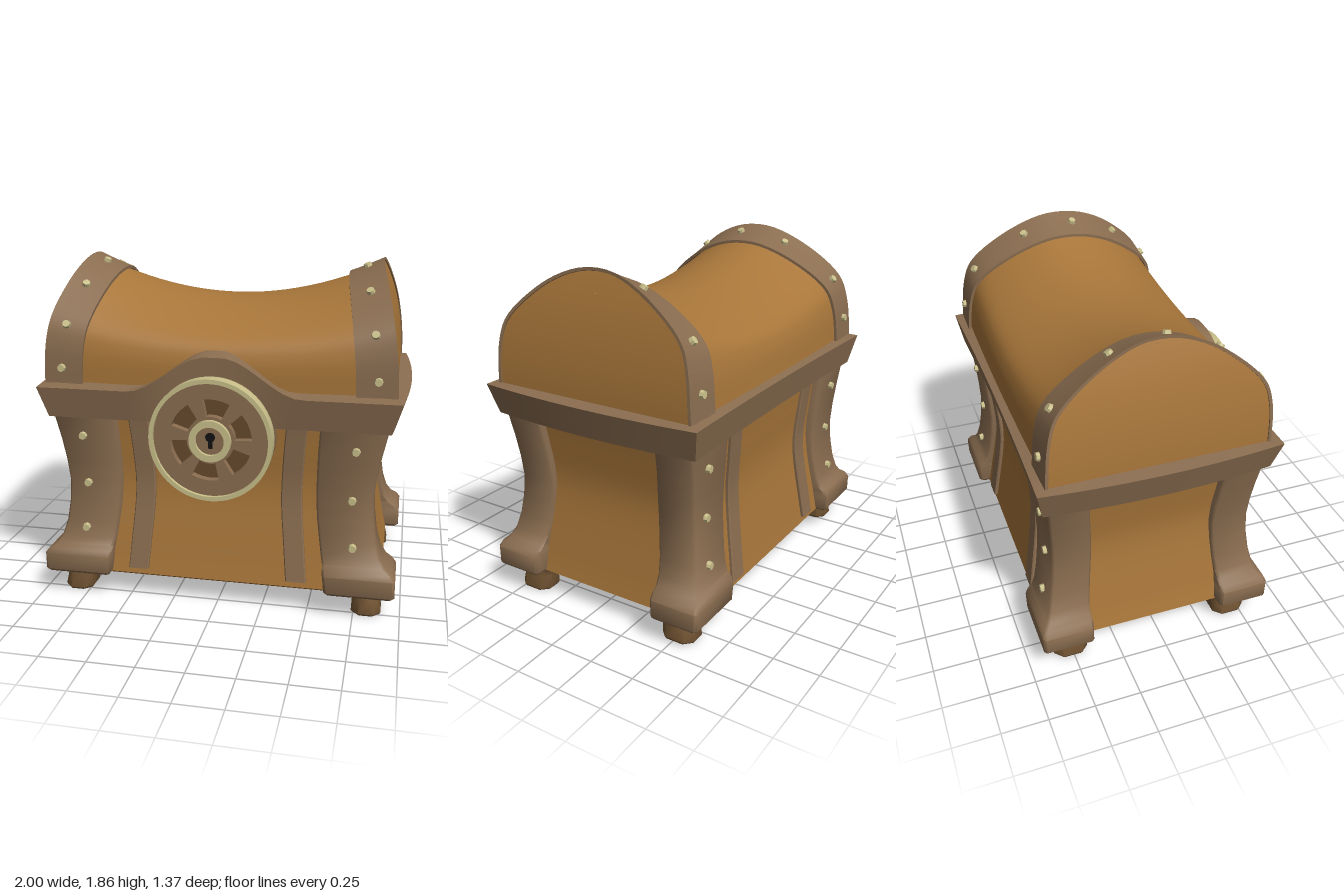
import * as THREE from 'three';
import { toCreasedNormals } from 'three/addons/utils/BufferGeometryUtils.js';

const mat = (color) => new THREE.MeshStandardMaterial({ color });
const WOOD = mat(0xa8763a), TRIM = mat(0x8a6d50), BRASS = mat(0xc9bf8a);
const LEG = mat(0x765735), DARK = mat(0x66492c), BLACK = mat(0x111111);
const CZ = -0.035; // depth centre of the box
const V = (x, y, z) => new THREE.Vector3(x, y, z);
const range = (n, f) => Array.from({ length: n + 1 }, (_, i) => f(i / n));

// Skin rows of points; optionally close each row into a ring and cap both ends
function skin(rows, closed = true, caps = closed, crease = 0.6) {
  const pos = [], idx = [], n = rows[0].length;
  rows.forEach((r) => r.forEach((p) => pos.push(p.x, p.y, p.z)));
  for (let i = 0; i < rows.length - 1; i++) {
    for (let j = 0; j < (closed ? n : n - 1); j++) {
      const k = (j + 1) % n, a = i * n + j, b = i * n + k;
      idx.push(a, b, b + n, a, b + n, a + n);
    }
  }
  if (caps) {
    [0, rows.length - 1].forEach((i) => {
      const c = rows[i].reduce((s, p) => s.add(p), V(0, 0, 0)).divideScalar(n);
      const ci = pos.length / 3;
      pos.push(c.x, c.y, c.z);
      for (let j = 0; j < n; j++) {
        const a = i * n + j, b = i * n + (j + 1) % n;
        idx.push(ci, ...(i === 0 ? [b, a] : [a, b]));
      }
    });
  }
  const g = new THREE.BufferGeometry();
  g.setAttribute('position', new THREE.Float32BufferAttribute(pos, 3));
  g.setIndex(idx);
  return toCreasedNormals(g, crease);
}

// Chamfered rectangle at height y, counter-clockwise from above
function rect(xa, xb, za, zb, y, r) {
  const x0 = Math.min(xa, xb), x1 = Math.max(xa, xb), z0 = Math.min(za, zb), z1 = Math.max(za, zb);
  return [[x1, z1 - r], [x1, z0 + r], [x1 - r, z0], [x0 + r, z0],
    [x0, z0 + r], [x0, z1 - r], [x0 + r, z1], [x1 - r, z1]].map(([x, z]) => V(x, y, z));
}

// Smooth curve through [y, value] pairs, sampled by y
function curveY(pairs) {
  const c = new THREE.SplineCurve(pairs.map(([y, v]) => new THREE.Vector2(v, y)));
  const pts = c.getPoints(80);
  return (y) => {
    const i = Math.max(1, pts.findIndex((p) => p.y >= y));
    const a = pts[i - 1], b = pts[i];
    return a.x + (b.x - a.x) * THREE.MathUtils.clamp((y - a.y) / (b.y - a.y), 0, 1);
  };
}
const bodyX = curveY([[0.14, 0.89], [0.3, 0.855], [0.65, 0.8], [0.9, 0.825], [1.09, 0.86]]);
const bodyZ = curveY([[0.14, 0.585], [0.3, 0.56], [0.65, 0.515], [0.9, 0.53], [1.09, 0.55]]);
const strapX = curveY([[0.18, 0.44], [0.35, 0.425], [0.62, 0.403], [0.85, 0.411], [1.09, 0.432]]);

// Lid surface: u runs across the width, v from front over the top to the back
const lidProfile = new THREE.SplineCurve([[0.52, 0], [0.512, 0.35], [0.46, 0.575], [0.29, 0.82], [0.13, 0.955], [-0.02, 1],
  [-0.17, 0.965], [-0.36, 0.815], [-0.53, 0.59], [-0.588, 0.35], [-0.61, 0]].map((p) => new THREE.Vector2(...p)));
function lidPoint(u, v, off = 0, w = 1) {
  const p = lidProfile.getPointAt(v), t = Math.max(0, p.y), c = -0.045;
  return V(u * (0.935 - 0.115 * t * t), 1.22 + 0.62 * t * (0.69 + 0.31 * u * u) + off * t,
    c + (p.x - c) * w * (1 + off / 0.58) * (1 + 0.025 * (1 - u * u)));
}

export function createModel() {
  const model = new THREE.Group();
  const add = (name, geo, material, parent = model) => {
    const m = new THREE.Mesh(geo, material);
    m.name = name;
    parent.add(m);
    return m;
  };
  const rivetGeo = toCreasedNormals(new THREE.CylinderGeometry(0.02, 0.026, 0.036, 8), 0.5);
  const rivet = (p, n) => {
    const m = add('rivet', rivetGeo, BRASS);
    m.position.copy(p);
    m.quaternion.setFromUnitVectors(V(0, 1, 0), n);
  };

  // Waisted wooden box with an eased bottom edge
  const base = rect(-0.86, 0.86, CZ - 0.555, CZ + 0.555, 0.125, 0.02);
  add('body', skin([base, ...range(16, (t) => {
    const y = 0.145 + 0.945 * t, z = bodyZ(y);
    return rect(-bodyX(y), bodyX(y), CZ - z, CZ + z, y, 0.02);
  })]), WOOD);

  // Corner posts: [y, inner x, outer x, inner z, outer z]
  const post = [[0.14, 0.605, 0.955, 0.38, 0.635], [0.155, 0.595, 0.968, 0.37, 0.648], [0.25, 0.585, 0.968, 0.37, 0.65],
    [0.28, 0.583, 0.945, 0.37, 0.638], [0.305, 0.58, 0.91, 0.37, 0.612], [0.35, 0.57, 0.88, 0.365, 0.592],
    [0.43, 0.558, 0.855, 0.355, 0.575], [0.54, 0.543, 0.84, 0.345, 0.56], [0.66, 0.535, 0.835, 0.338, 0.552],
    [0.78, 0.536, 0.848, 0.342, 0.557], [0.9, 0.54, 0.868, 0.352, 0.567], [1.07, 0.55, 0.905, 0.363, 0.582]];
  // Splayed legs, same columns
  const leg = [[0, 0.745, 0.893, 0.388, 0.562], [0.012, 0.738, 0.898, 0.38, 0.57], [0.09, 0.742, 0.882, 0.375, 0.562],
    [0.115, 0.728, 0.876, 0.362, 0.558], [0.145, 0.7, 0.87, 0.33, 0.555]];
  for (const sx of [-1, 1]) {
    for (const sz of [-1, 1]) {
      const column = (levels, r) => skin(levels.map(([y, xi, xo, zi, zo]) =>
        rect(sx * xi, sx * xo, CZ + sz * zi, CZ + sz * zo, y, r)), true, true, 0.9);
      add('cornerPost', column(post, 0.014), TRIM);
      add('leg', column(leg, 0.04), LEG);
      for (const [x, y, z] of [[0.737, 0.93, 0.572], [0.725, 0.655, 0.554], [0.737, 0.4, 0.582]]) {
        rivet(V(sx * x, y, CZ + sz * z), V(0, 0, sz));
      }

      // Thin curved strap on the front and back
      add('bodyStrap', skin(range(14, (t) => {
        const y = 0.18 + 0.89 * t, z = bodyZ(y), x = sx * strapX(y);
        return rect(x - 0.056, x + 0.056, CZ + sz * (z - 0.02), CZ + sz * (z + 0.02), y, 0.006);
      })), TRIM);
    }
  }

  // Sloping rim round the box, raised into an arch at the front
  const side = range(10, (t) => 1 - 2 * t);
  const perimeter = [
    ...side.map((s) => ({ x: 0.962 + 0.038 * (1 - s * s), z: CZ + 0.642 * s, ix: 0.84, iz: CZ + 0.53 * s, a: 0 })),
    ...side.slice(1, -1).map((s) => ({ x: 0.962 * s, z: -0.677 + 0.015 * (1 - s * s), ix: 0.84 * s, iz: CZ - 0.53, a: 0 })),
    ...side.map((s) => ({ x: -0.962 - 0.038 * (1 - s * s), z: CZ - 0.642 * s, ix: -0.84, iz: CZ - 0.53 * s, a: 0 })),
    ...range(32, (t) => 2 * t - 1).slice(1, -1).map((s) => {
      const k = THREE.MathUtils.clamp(1 - (Math.abs(0.962 * s) - 0.04) / 0.42, 0, 1);
      return { x: 0.962 * s, z: 0.607, ix: 0.84 * s, iz: CZ + 0.53, a: 0.195 * k * k * (3 - 2 * k) };
    }),
  ];
  const ring = (f) => perimeter.map(f);
  const innerLow = ring((p) => V(p.ix * 0.9, 1.04, CZ + (p.iz - CZ) * 0.9));
  add('rim', skin([
    innerLow,
    ring((p) => V(p.x * 0.948, 1.04, CZ + (p.z - CZ) * 0.945)),
    ring((p) => V(p.x, 1.207 + p.a, p.z - p.a * 0.1)),
    ring((p) => V(p.ix, 1.232 + p.a, p.iz)),
    innerLow,
  ], true, false, 0.5), TRIM);

  // Saddle-shaped lid, its end panels and riveted end straps
  add('lid', skin(range(24, (t) => range(48, (v) => lidPoint(0.99 * (1 - 2 * t), v))), false), WOOD);
  for (const s of [-1, 1]) {
    add('lidEnd', skin(range(4, (w) => range(48, (v) => lidPoint(s * 0.992, s > 0 ? v : 1 - v, 0.01, w))), false), WOOD);
    const us = range(4, (t) => 0.775 + 0.225 * t).map((u) => s * u);
    if (s < 0) us.reverse();
    add('lidStrap', skin(range(48, (v) => [
      ...us.map((u) => lidPoint(u, v, 0.022)),
      ...us.slice().reverse().map((u) => lidPoint(u, v, 0.006)),
    ]), true, false), TRIM);
    for (const v of [0.055, 0.205, 0.35, 0.472, 0.59, 0.765, 0.92]) {
      const u = s * 0.895, p = lidPoint(u, v, 0.022);
      const dv = lidPoint(u, v + 0.01, 0.022).sub(lidPoint(u, v - 0.01, 0.022));
      const du = lidPoint(u + 0.01, v, 0.022).sub(lidPoint(u - 0.01, v, 0.022));
      rivet(p, du.cross(dv).normalize());
    }
  }

  // Round lock
  const lock = new THREE.Group();
  lock.name = 'lock';
  lock.position.set(0, 0.985, 0);
  model.add(lock);
  const disc = (name, r, z0, z1, material) => {
    const g = new THREE.CylinderGeometry(r, r, z1 - z0, 48).rotateX(Math.PI / 2);
    add(name, g, material, lock).position.z = (z0 + z1) / 2;
  };
  const plate = (name, shape, z0, z1, material) => {
    const g = new THREE.ExtrudeGeometry(shape, { depth: z1 - z0, bevelEnabled: false, curveSegments: 32 });
    add(name, toCreasedNormals(g, 0.5), material, lock).position.z = z0;
  };
  const circle = (r) => new THREE.Shape().absarc(0, 0, r, 0, Math.PI * 2);
  const hoop = (r, ri) => {
    const s = circle(r);
    s.holes.push(circle(ri));
    return s;
  };
  disc('lockDrum', 0.32, 0.42, 0.612, TRIM);
  disc('lockRecess', 0.26, 0.6, 0.617, DARK);
  plate('lockRing', hoop(0.325, 0.302), 0.61, 0.68, BRASS);
  const face = circle(0.305);
  for (let i = 0; i < 6; i++) {
    const a = THREE.MathUtils.degToRad(82 + 60 * i), h = 0.34;
    face.holes.push(new THREE.Path().absarc(0, 0, 0.217, a - h, a + h).absarc(0, 0, 0.126, a + h, a - h, true));
  }
  plate('lockFace', face, 0.612, 0.66, TRIM);
  plate('keyholeRing', hoop(0.11, 0.075), 0.65, 0.685, BRASS);
  disc('keyholePlate', 0.08, 0.62, 0.665, TRIM);
  const key = new THREE.Shape().absarc(0, 0.018, 0.025, -1.1, Math.PI + 1.1);
  key.lineTo(-0.012, -0.042).lineTo(0.012, -0.042);
  plate('keyhole', key, 0.66, 0.668, BLACK);
  return model;
}
